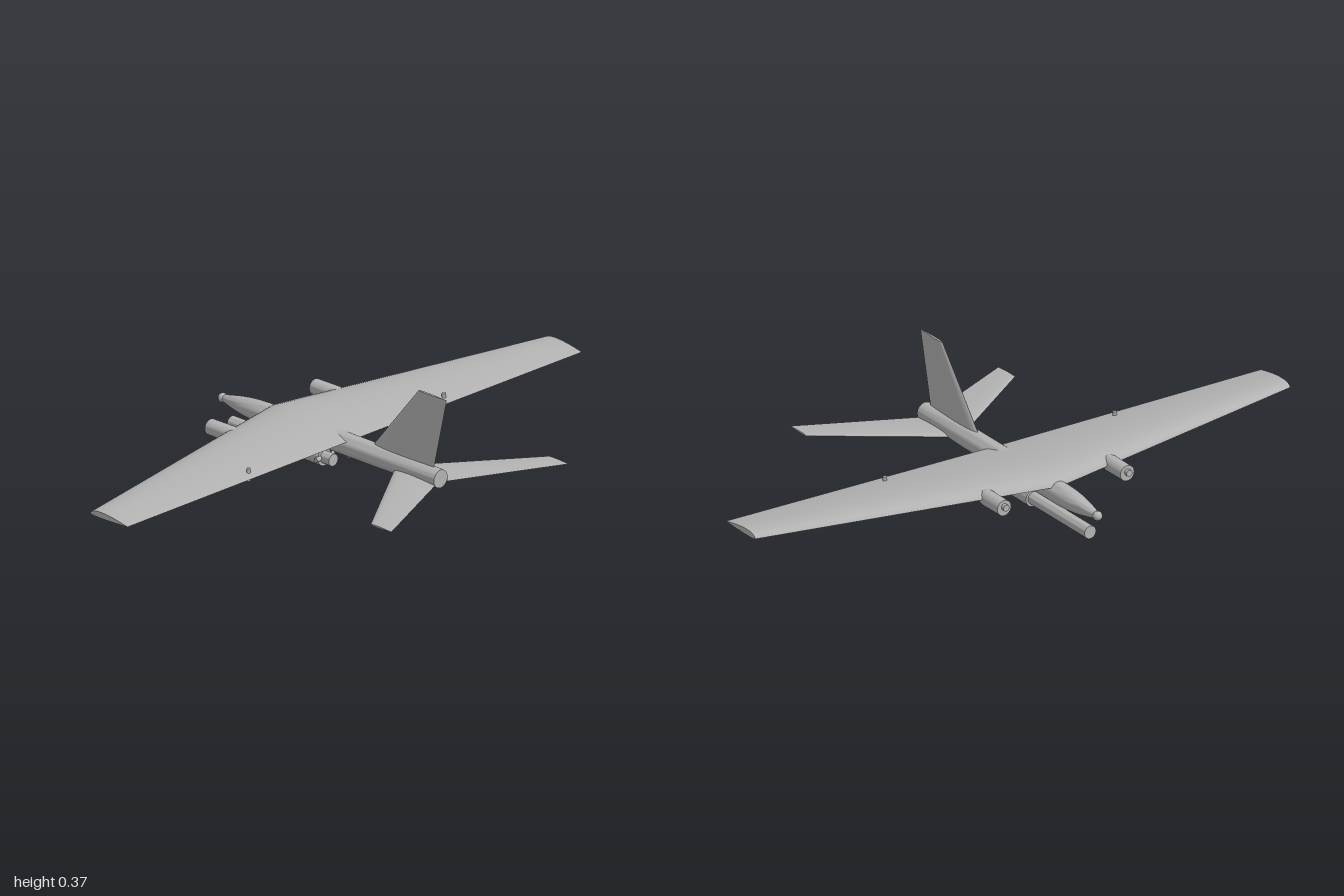
import * as THREE from 'three';
import { toCreasedNormals } from 'three/addons/utils/BufferGeometryUtils.js';

// Body of revolution along x; profile is [x, radius] from nose to tail
function revolve(profile, segments = 32) {
  const pts = profile.map(([x, r]) => new THREE.Vector2(r, x));
  return toCreasedNormals(new THREE.LatheGeometry(pts, segments).rotateZ(-Math.PI / 2), 0.6);
}

// Closed aerofoil outline, counter-clockwise seen from +z
function aerofoil({ le, te, y, up, down, z }, n = 14) {
  const shape = u => 10 * (0.2969 * Math.sqrt(u) - 0.126 * u - 0.3516 * u * u + 0.2843 * u ** 3 - 0.1036 * u ** 4);
  const at = (k, h) => {
    const u = (1 + Math.cos(Math.PI * k / n)) / 2;
    return [le + (te - le) * u, y + h * shape(u), z];
  };
  const loop = [];
  for (let k = 0; k <= n; k++) loop.push(at(k, up));
  for (let k = n - 1; k > 0; k--) loop.push(at(k, -down));
  return loop;
}

// Skin between aerofoil sections ordered by rising z, with flat end caps
function loft(sections) {
  const loops = sections.map(s => aerofoil(s));
  const n = loops[0].length, last = (loops.length - 1) * n, index = [];
  for (let i = 0; i < loops.length - 1; i++) {
    for (let j = 0; j < n; j++) {
      const a = i * n + j, b = i * n + (j + 1) % n;
      index.push(a, b, b + n, a, b + n, a + n);
    }
  }
  for (let j = 1; j < n - 1; j++) {
    index.push(0, j + 1, j, last, last + j, last + j + 1);
  }
  const geo = new THREE.BufferGeometry();
  geo.setAttribute('position', new THREE.Float32BufferAttribute(loops.flat(2), 3));
  geo.setIndex(index);
  return toCreasedNormals(geo, 0.7);
}

export function createModel() {
  const model = new THREE.Group();
  model.name = 'aircraft';
  const grey = new THREE.MeshStandardMaterial({ color: 0xb2b2b2 });
  grey.name = 'grey';

  function add(name, geo, x = 0, y = 0, z = 0) {
    const mesh = new THREE.Mesh(geo, grey);
    mesh.name = name;
    mesh.position.set(x, y, z);
    model.add(mesh);
    return mesh;
  }

  // Fuselage, nose pointing to -x
  add('fuselage', revolve([
    [-0.542, 0], [-0.542, 0.012], [-0.51, 0.019], [-0.48, 0.025], [-0.44, 0.031],
    [-0.4, 0.0345], [-0.36, 0.036], [0.15, 0.036], [0.395, 0.03], [0.395, 0],
  ]), 0, 0.102);
  add('noseBall', new THREE.SphereGeometry(0.0155, 24, 16), -0.5495, 0.102);
  add('bellyStud', new THREE.CylinderGeometry(0.008, 0.008, 0.02, 16), 0, 0.071);

  // Wing: straight trailing edge, swept leading edge
  const wingTip = { le: -0.14, te: 0.022, y: 0.126, up: 0.016, down: 0.004 };
  add('wing', loft([
    { ...wingTip, z: -1 },
    { le: -0.345, te: 0.016, y: 0.124, up: 0.033, down: 0.006, z: 0 },
    { ...wingTip, z: 1 },
  ]));

  // Horizontal tail, swept back
  const tailTip = { le: 0.475, te: 0.565, y: 0.087, up: 0.003, down: 0.003 };
  add('tailplane', loft([
    { ...tailTip, z: -0.39 },
    { le: 0.2, te: 0.384, y: 0.087, up: 0.01, down: 0.01, z: 0 },
    { ...tailTip, z: 0.39 },
  ]));

  // Vertical fin, lofted along z and then stood upright
  add('fin', loft([
    { le: 0.08, te: 0.36, y: 0, up: 0.01, down: 0.01, z: 0.105 },
    { le: 0.3, te: 0.421, y: 0, up: 0.004, down: 0.004, z: 0.371 },
  ]).rotateX(-Math.PI / 2));

  // Engine pods and wing studs on both sides
  const podGeo = revolve([
    [-0.376, 0], [-0.376, 0.026], [-0.285, 0.027], [-0.265, 0.024], [-0.25, 0.017], [-0.243, 0.008], [-0.241, 0],
  ], 24);
  const hubGeo = revolve([[-0.388, 0], [-0.388, 0.011], [-0.37, 0.011]], 16);
  const studGeo = new THREE.CylinderGeometry(0.007, 0.007, 0.042, 12);
  for (const [side, s] of [['left', -1], ['right', 1]].map(([n, v]) => [n, -v])) {
    add(side + 'EnginePod', podGeo, 0, 0.122, -s * 0.23);
    add(side + 'EngineHub', hubGeo, 0, 0.126, -s * 0.23);
    add(side + 'WingStud', studGeo, -0.015, 0.124, -s * 0.43);
  }

  // Long tube slung below the fuselage, with a collar and side pins
  add('bellyTube', revolve([
    [-0.51, 0], [-0.51, 0.0215], [-0.2, 0.0215], [-0.2, 0.029], [-0.109, 0.029],
    [-0.109, 0.02], [-0.07, 0.02], [-0.07, 0],
  ]), 0, 0.031);
  add('tubePins', new THREE.CylinderGeometry(0.008, 0.008, 0.078, 16).rotateX(Math.PI / 2), -0.109, 0.031);

  // Rest the lowest point on the ground
  model.position.y = -new THREE.Box3().setFromObject(model).min.y;
  return model;
}
